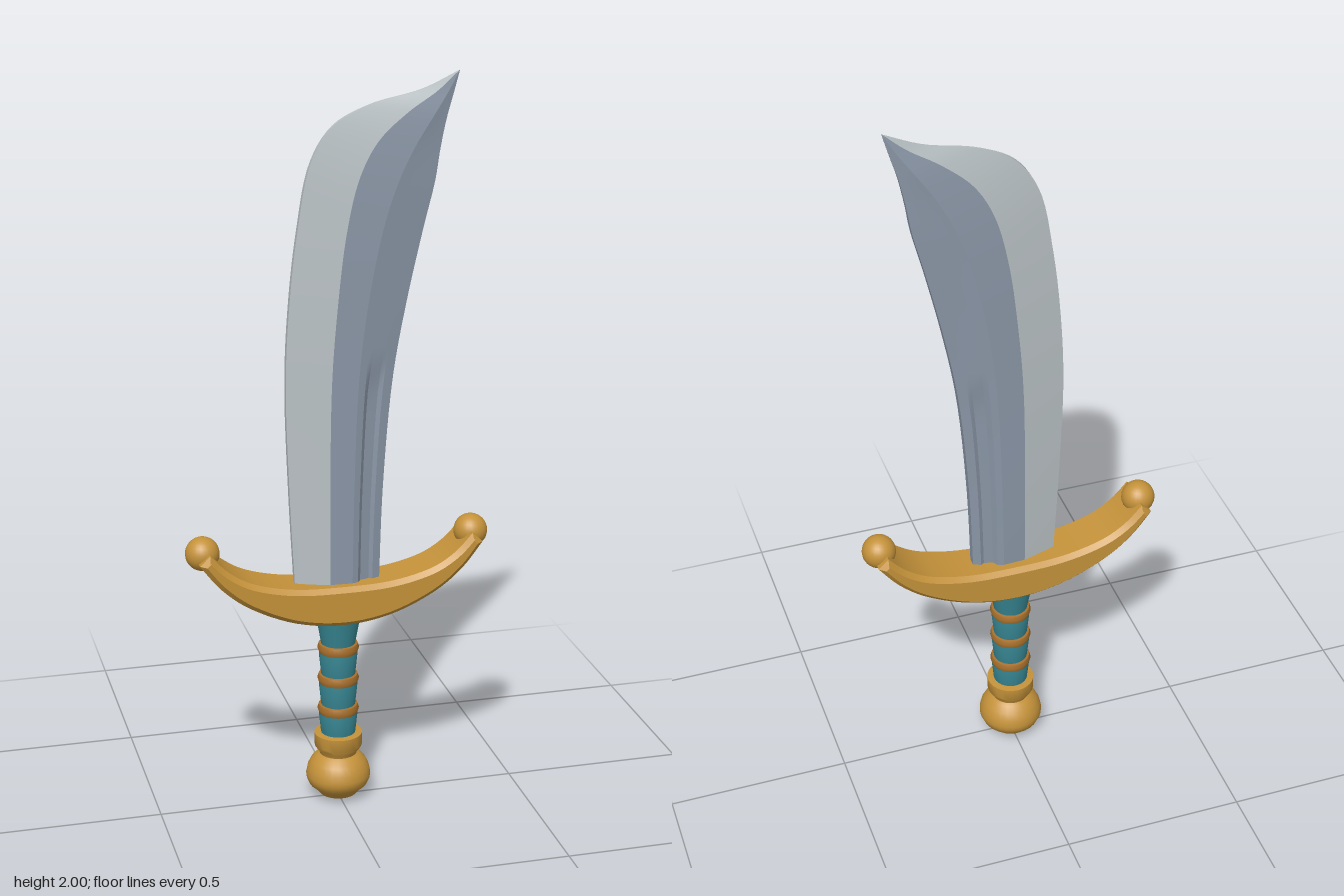
import * as THREE from 'three';
import { toCreasedNormals, mergeGeometries } from 'three/addons/utils/BufferGeometryUtils.js';

const mat = (name, color) => {
  const m = new THREE.MeshStandardMaterial({ color });
  m.name = name;
  return m;
};
const v2 = (pts) => pts.map(([x, y]) => new THREE.Vector2(x, y));

export function createModel() {
  const group = new THREE.Group();
  const gold = mat('gold', 0xc4923a);
  const silver = mat('silver edge', 0xb9c1c4);
  const steel = mat('blue steel', 0x8a96a6);
  const teal = mat('teal leather', 0x34808c);
  const bronze = mat('bronze', 0xa8702c);

  const add = (name, geo, material, x = 0, y = 0, z = 0) => {
    const m = new THREE.Mesh(geo, material);
    m.name = name;
    m.position.set(x, y, z);
    group.add(m);
    return m;
  };
  const lathe = (pts) => toCreasedNormals(new THREE.LatheGeometry(v2(pts), 28), 0.7);

  // Blade: lengthwise lines (x, y, half thickness), all meeting at the tip
  const N = 48;
  const thick = [1, 1, 1, 1, 0.95, 0.85, 0.7, 0.5, 0.22, 0];
  const line = (half, pts) => new THREE.CatmullRomCurve3(
    pts.map(([x, y], i) => new THREE.Vector3(x, y, half * thick[i])), false, 'centripetal');
  const sample = (curve) => Array.from({ length: N + 1 }, (_, i) => curve.getPoint(i / N));
  const tip = [0.32, 2.0];
  const edge = sample(line(0.009, [[-0.12, 0.6], [-0.135, 0.9], [-0.143, 1.2], [-0.133, 1.4], [-0.11, 1.6],
    [-0.073, 1.78], [-0.015, 1.87], [0.08, 1.92], [0.22, 1.955], tip]));
  const bevel = sample(line(0.034, [[-0.03, 0.6], [-0.03, 0.9], [-0.025, 1.2], [-0.01, 1.4], [0.015, 1.6],
    [0.05, 1.74], [0.1, 1.83], [0.18, 1.9], [0.26, 1.95], tip]));
  const ridge = sample(line(0.037, [[0.03, 0.6], [0.035, 0.9], [0.047, 1.2], [0.07, 1.4], [0.11, 1.6],
    [0.15, 1.72], [0.195, 1.81], [0.245, 1.885], [0.287, 1.945], tip]));
  const spine = sample(line(0.012, [[0.11, 0.6], [0.12, 0.9], [0.145, 1.2], [0.18, 1.4], [0.225, 1.6],
    [0.255, 1.72], [0.268, 1.8], [0.285, 1.88], [0.303, 1.94], tip]));

  // Fuller: sunken channel between ridge and spine that fades out halfway up
  const fuller = (t, depth) => ridge.map((r, i) => {
    const p = r.clone().lerp(spine[i], t);
    p.z -= depth * THREE.MathUtils.clamp((1.24 - p.y) / 0.05, 0, 1);
    return p;
  });
  const front = [edge, bevel, ridge, fuller(0.2, 0), fuller(0.32, 0.011),
    fuller(0.62, 0.009), fuller(0.74, 0), spine];
  const back = front.map((l) => l.map((p) => new THREE.Vector3(p.x, p.y, -p.z))).reverse();
  const ring = [...front, ...back, front[0]];

  // Each strip is smooth along its length and creased against its neighbours
  const strip = (a, b) => {
    const pos = [], idx = [];
    for (let i = 0; i <= N; i++) {
      pos.push(...a[i].toArray(), ...b[i].toArray());
      const k = i * 2;
      if (i < N) idx.push(k, k + 1, k + 3, k, k + 3, k + 2);
    }
    const g = new THREE.BufferGeometry();
    g.setAttribute('position', new THREE.Float32BufferAttribute(pos, 3));
    g.setIndex(idx);
    g.computeVertexNormals();
    return g;
  };
  const edgeStrips = [], bodyStrips = [];
  for (let i = 0; i < ring.length - 1; i++) {
    const isEdge = i === 0 || i >= ring.length - 3;
    (isEdge ? edgeStrips : bodyStrips).push(strip(ring[i], ring[i + 1]));
  }
  add('bladeEdge', mergeGeometries(edgeStrips), silver);
  add('bladeBody', mergeGeometries(bodyStrips), steel);

  // Crescent guard with chamfered rims
  const outer = new THREE.SplineCurve(v2([[-0.388, 0.735], [-0.33, 0.662], [-0.25, 0.6], [-0.13, 0.548],
    [0, 0.53], [0.13, 0.548], [0.25, 0.6], [0.33, 0.662], [0.388, 0.735]])).getPoints(40);
  const inner = new THREE.SplineCurve(v2([[0.36, 0.762], [0.31, 0.71], [0.24, 0.67], [0.13, 0.645],
    [0, 0.64], [-0.13, 0.645], [-0.24, 0.67], [-0.31, 0.71], [-0.36, 0.762]])).getPoints(40);
  const rim = 0.013;
  const guard = new THREE.ExtrudeGeometry(new THREE.Shape([...outer, ...inner]), {
    depth: 0.14 - 2 * rim, bevelEnabled: true, bevelThickness: rim, bevelSize: rim,
    bevelOffset: -rim, bevelSegments: 1,
  });
  add('guard', toCreasedNormals(guard, 0.5), gold, 0, 0, -0.07 + rim);
  for (const side of [-1, 1]) {
    add(side > 0 ? 'leftGuardBall' : 'rightGuardBall',
      new THREE.SphereGeometry(0.046, 24, 16), gold, side * 0.371, 0.75, 0);
  }

  // Grip: tapered leather sections separated by rings
  const ringY = [0.265, 0.355, 0.445];
  const grip = [[0.046, 0.18]];
  for (const y of ringY) grip.push([0.053, y - 0.018], [0.047, y], [0.047, y + 0.014]);
  grip.push([0.058, 0.52], [0.058, 0.56]);
  add('grip', lathe(grip), teal);
  for (const y of ringY) {
    add('gripRing', lathe([[0.044, y - 0.014], [0.053, y - 0.012], [0.057, y],
      [0.053, y + 0.012], [0.044, y + 0.014]]), bronze);
  }

  // Collar and pommel
  add('collar', lathe([[0.05, 0.125], [0.053, 0.138], [0.064, 0.152], [0.066, 0.158],
    [0.066, 0.192], [0.045, 0.194]]), gold);
  add('pommel', lathe([[0, 0], [0.03, 0.002], [0.052, 0.011], [0.064, 0.026], [0.066, 0.028], [0.08, 0.04],
    [0.088, 0.058], [0.089, 0.07], [0.085, 0.09], [0.075, 0.11], [0.06, 0.126], [0.045, 0.135]]), gold);

  return group;
}
